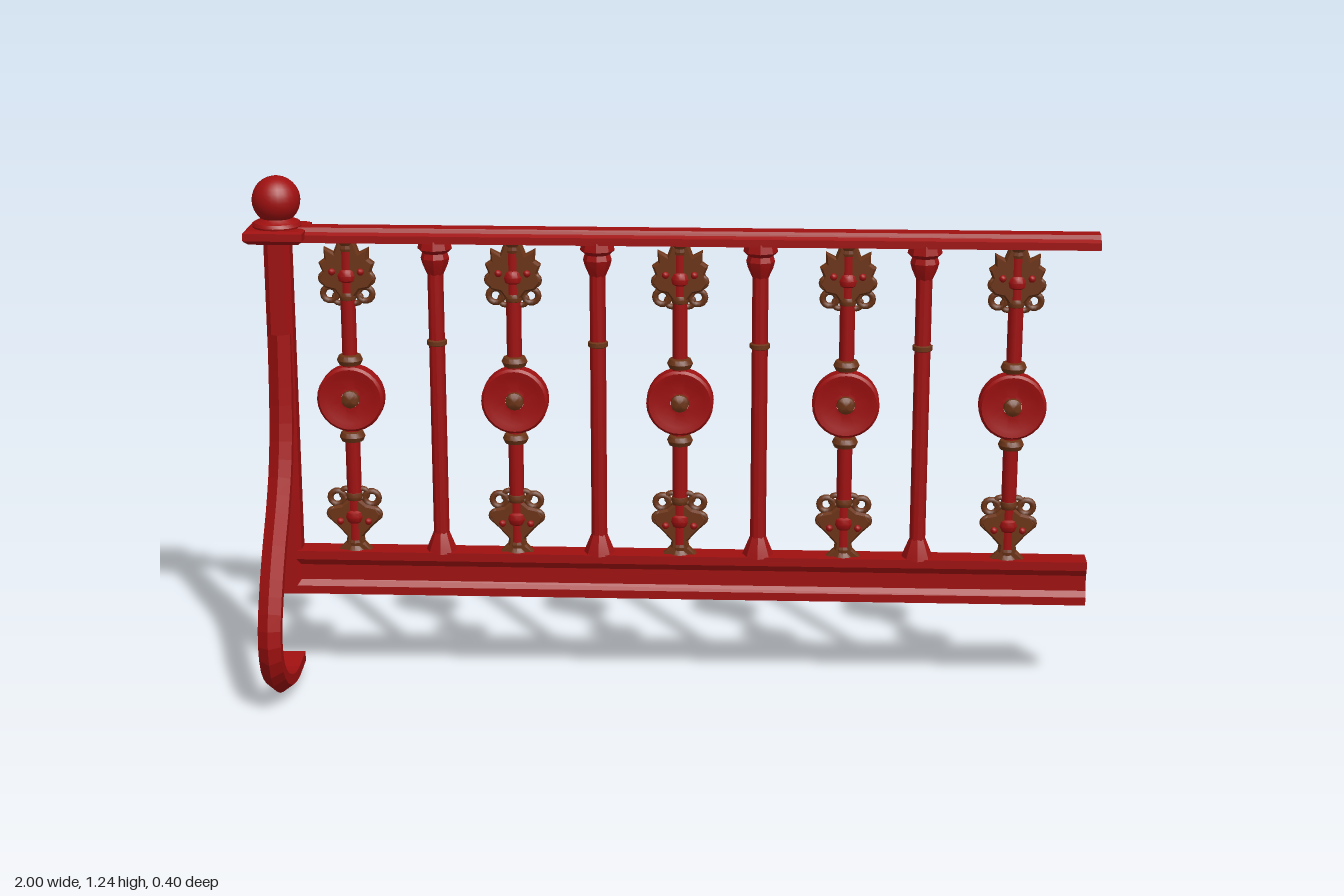
import * as THREE from 'three';
import { toCreasedNormals } from 'three/addons/utils/BufferGeometryUtils.js';

const Z = -0.13; // plane of the railing
const red = new THREE.MeshStandardMaterial({ color: 0xa01010 });
const bronze = new THREE.MeshStandardMaterial({ color: 0x6c3416 });
const redOpen = new THREE.MeshStandardMaterial({ color: 0xa01010, side: THREE.DoubleSide });

function add(parent, name, geometry, material, x = 0, y = 0, z = 0) {
  const mesh = new THREE.Mesh(geometry, material);
  mesh.name = name;
  mesh.position.set(x, y, z);
  parent.add(mesh);
  return mesh;
}

// Flat-faced skin through equal rings of points, open at both ends
function loft(rings) {
  const pos = [];
  for (let i = 0; i < rings.length - 1; i++) {
    const n = rings[i].length;
    for (let j = 0; j < n; j++) {
      const k = (j + 1) % n;
      const [a, b, c, d] = [rings[i][j], rings[i][k], rings[i + 1][k], rings[i + 1][j]];
      for (const p of [a, b, c, a, c, d]) pos.push(p.x, p.y, p.z);
    }
  }
  const g = new THREE.BufferGeometry();
  g.setAttribute('position', new THREE.Float32BufferAttribute(pos, 3));
  g.computeVertexNormals();
  return g;
}

// Hollow bar along x; the half profile [z, y] runs from bottom to top and is mirrored
function bar(half, x0, x1) {
  const ring = [...half, ...half.map(([z, y]) => [-z, y]).reverse()];
  return loft([x1, x0].map(x => ring.map(([z, y]) => new THREE.Vector3(x, y, Z + z))));
}

function lathe(points, segments = 16, crease = 0.6) {
  const g = new THREE.LatheGeometry(points.map(([r, y]) => new THREE.Vector2(r, y)), segments);
  return toCreasedNormals(g, crease);
}

// Bevelled plate, symmetric in x, from its right-hand outline
function plate(half, depth) {
  const pts = [...half, ...half.map(([x, y]) => [-x, y]).reverse()];
  const shape = new THREE.Shape(pts.map(([x, y]) => new THREE.Vector2(x, y)));
  const g = new THREE.ExtrudeGeometry(shape, {
    depth, bevelEnabled: true, bevelThickness: 0.008, bevelSize: 0.005, bevelOffset: -0.005, bevelSegments: 1,
  });
  return g.translate(0, 0, -depth / 2);
}

const scrollGeo = new THREE.TorusGeometry(0.017, 0.0075, 6, 14);
const smallScrollGeo = new THREE.TorusGeometry(0.012, 0.007, 6, 12);
const eyeGeo = new THREE.SphereGeometry(0.009, 8, 6);
const collarGeo = lathe([[0.016, -0.014], [0.026, -0.011], [0.031, 0], [0.026, 0.011], [0.016, 0.014]]);
const knotGeo = lathe([[0.012, -0.02], [0.024, -0.012], [0.026, 0], [0.022, 0.012], [0.012, 0.02]], 12);
const bellGeo = lathe([[0.014, -0.04], [0.02, -0.02], [0.018, -0.012], [0.027, 0]], 12);
const crownLeaf = plate([[0, -0.165], [0.012, -0.145], [0.03, -0.12], [0.052, -0.115], [0.068, -0.095],
  [0.058, -0.075], [0.066, -0.055], [0.052, -0.045], [0.053, -0.018], [0.03, -0.03], [0.02, -0.003]], 0.014);
const heartLeaf = plate([[0, -0.15], [0.012, -0.13], [0.03, -0.115], [0.052, -0.11], [0.066, -0.092],
  [0.058, -0.075], [0.042, -0.06], [0.02, -0.035], [0.022, -0.02], [0.042, 0]], 0.014);

// Scrollwork hanging below its origin
function scrollwork(name, leaf) {
  const g = new THREE.Group();
  g.name = name;
  add(g, 'leafPlate', leaf, bronze);
  add(g, 'leafKnot', knotGeo, red, 0, -0.085, 0);
  add(g, 'leafBell', bellGeo, bronze);
  add(g, 'leafTip', knotGeo, bronze, 0, -0.135, 0).scale.set(0.8, 0.8, 0.8);
  for (const s of [-1, 1]) {
    add(g, 'scroll', scrollGeo, bronze, s * 0.042, -0.131, 0);
    add(g, 'smallScroll', smallScrollGeo, bronze, s * 0.05, -0.092, 0.006);
    add(g, 'innerScroll', smallScrollGeo, bronze, s * 0.02, -0.142, 0);
    for (const z of [-0.014, 0.014]) add(g, 'scrollBud', eyeGeo, red, s * 0.034, -0.075, z);
  }
  return g;
}

// Medallion: bossed front, hollow back
const discGeo = lathe([[0, -0.002], [0.05, -0.002], [0.058, -0.025], [0.074, -0.025], [0.08, -0.019], [0.08, 0.016],
  [0.074, 0.022], [0.06, 0.02], [0.03, 0.013], [0.022, 0.014]], 28, 0.5).rotateX(Math.PI / 2);
const bossGeo = lathe([[0.022, 0.01], [0.021, 0.022], [0.013, 0.028], [0, 0.03]], 14).rotateX(Math.PI / 2);
const rodGeo = h => new THREE.CylinderGeometry(0.018, 0.018, h, 12, 1, true);
const upperRod = rodGeo(0.32), lowerRod = rodGeo(0.32);

function ornateBaluster() {
  const g = new THREE.Group();
  g.name = 'ornateBaluster';
  add(g, 'upperRod', upperRod, red, 0, 0.935, 0);
  add(g, 'lowerRod', lowerRod, red, 0, 0.48, 0);
  add(g, 'medallion', discGeo, red, 0, 0.705, 0);
  add(g, 'medallionBoss', bossGeo, bronze, 0, 0.705, 0);
  for (const y of [0.8, 0.61]) add(g, 'collar', collarGeo, bronze, 0, y, 0);
  const top = scrollwork('upperScrollwork', crownLeaf);
  top.position.y = 1.092;
  const bottom = scrollwork('lowerScrollwork', heartLeaf);
  bottom.position.y = 0.323;
  bottom.rotation.z = Math.PI;
  g.add(top, bottom);
  return g;
}

const plainRod = lathe([[0.019, 0.32], [0.019, 1.07]], 12);
const ringGeo = lathe([[0.018, -0.008], [0.024, -0.005], [0.024, 0.005], [0.018, 0.008]], 12);
const headGeo = lathe([[0.019, -0.085], [0.03, -0.06], [0.034, -0.045], [0.03, -0.032], [0.041, -0.022], [0.036, 0]], 8, 0.3);
const footGeo = lathe([[0.038, 0], [0.036, 0.008], [0.019, 0.05]], 8, 0.3);

function plainBaluster() {
  const g = new THREE.Group();
  g.name = 'plainBaluster';
  add(g, 'rod', plainRod, red);
  add(g, 'ring', ringGeo, bronze, 0, 0.845, 0);
  add(g, 'head', headGeo, red, 0, 1.095, 0);
  add(g, 'foot', footGeo, red, 0, 0.322, 0);
  return g;
}

// Brace: five-sided section with an outward ridge, swept along an S curve
function braceGeometry(x) {
  const ridge = [[-0.073, 0.87], [-0.066, 0.77], [-0.05, 0.65], [-0.02, 0.56], [0.03, 0.48], [0.1, 0.395], [0.162, 0.3],
    [0.192, 0.235], [0.2, 0.17], [0.18, 0.105], [0.125, 0.05], [0.045, 0.014], [-0.03, 0.002], [-0.13, 0.01]];
  const curve = new THREE.CatmullRomCurve3(ridge.map(([z, y]) => new THREE.Vector3(x, y, z)));
  const section = [[0, 0], [-0.027, -0.02], [-0.027, -0.045], [0.027, -0.045], [0.027, -0.02]];
  const side = new THREE.Vector3(1, 0, 0), rings = [], steps = 28;
  for (let i = 0; i <= steps; i++) {
    const p = curve.getPointAt(i / steps);
    const out = curve.getTangentAt(i / steps).cross(side).normalize();
    rings.push(section.map(([u, v]) => p.clone().addScaledVector(side, u).addScaledVector(out, v)));
  }
  return loft(rings);
}

export function createModel() {
  const model = new THREE.Group();
  model.name = 'railing';
  const px = -0.93;

  // Handrail with a channel underneath, and the waisted bottom beam
  add(model, 'handrail', bar([[0.02, 1.1], [0.024, 1.09], [0.035, 1.09], [0.035, 1.108], [0.024, 1.114], [0.02, 1.124]], px, 1), redOpen);
  add(model, 'bottomBeam', bar([[0.031, 0.216], [0.031, 0.236], [0.021, 0.25], [0.021, 0.288], [0.031, 0.304], [0.031, 0.325]], px, 1), redOpen);

  // End post with chamfered corners
  const c = 0.012, h = 0.031;
  const corner = [[h - c, -h], [h, -h + c], [h, h - c], [h - c, h]];
  const outline = new THREE.Shape([...corner, ...corner.map(([x, y]) => [-x, -y])].map(p => new THREE.Vector2(...p)));
  const post = new THREE.ExtrudeGeometry(outline, { depth: 0.875, bevelEnabled: false }).rotateX(-Math.PI / 2);
  add(model, 'post', post, red, px, 0.215, Z);

  // Post cap and ball finial
  const capGeo = lathe([[0, -0.016], [0.083, -0.016], [0.099, -0.006], [0.099, 0.012], [0.085, 0.016], [0, 0.016]], 4, 0.3)
    .rotateY(Math.PI / 4);
  add(model, 'postCap', capGeo, red, px, 1.106, Z);
  add(model, 'finialBase', lathe([[0.056, 0], [0.058, 0.008], [0.054, 0.016], [0.04, 0.022], [0.03, 0.035]], 20), red, px, 1.118, Z);
  add(model, 'finialBall', new THREE.SphereGeometry(0.057, 24, 16), red, px, 1.186, Z);

  add(model, 'brace', braceGeometry(px), redOpen);

  // Alternating balusters
  for (let i = 0; i < 5; i++) {
    const ornate = ornateBaluster();
    ornate.position.set(-0.768 + i * 0.3945, 0, Z);
    model.add(ornate);
    if (i === 4) break;
    const plain = plainBaluster();
    plain.position.set(-0.558 + i * 0.384, 0, Z);
    model.add(plain);
  }
  return model;
}
